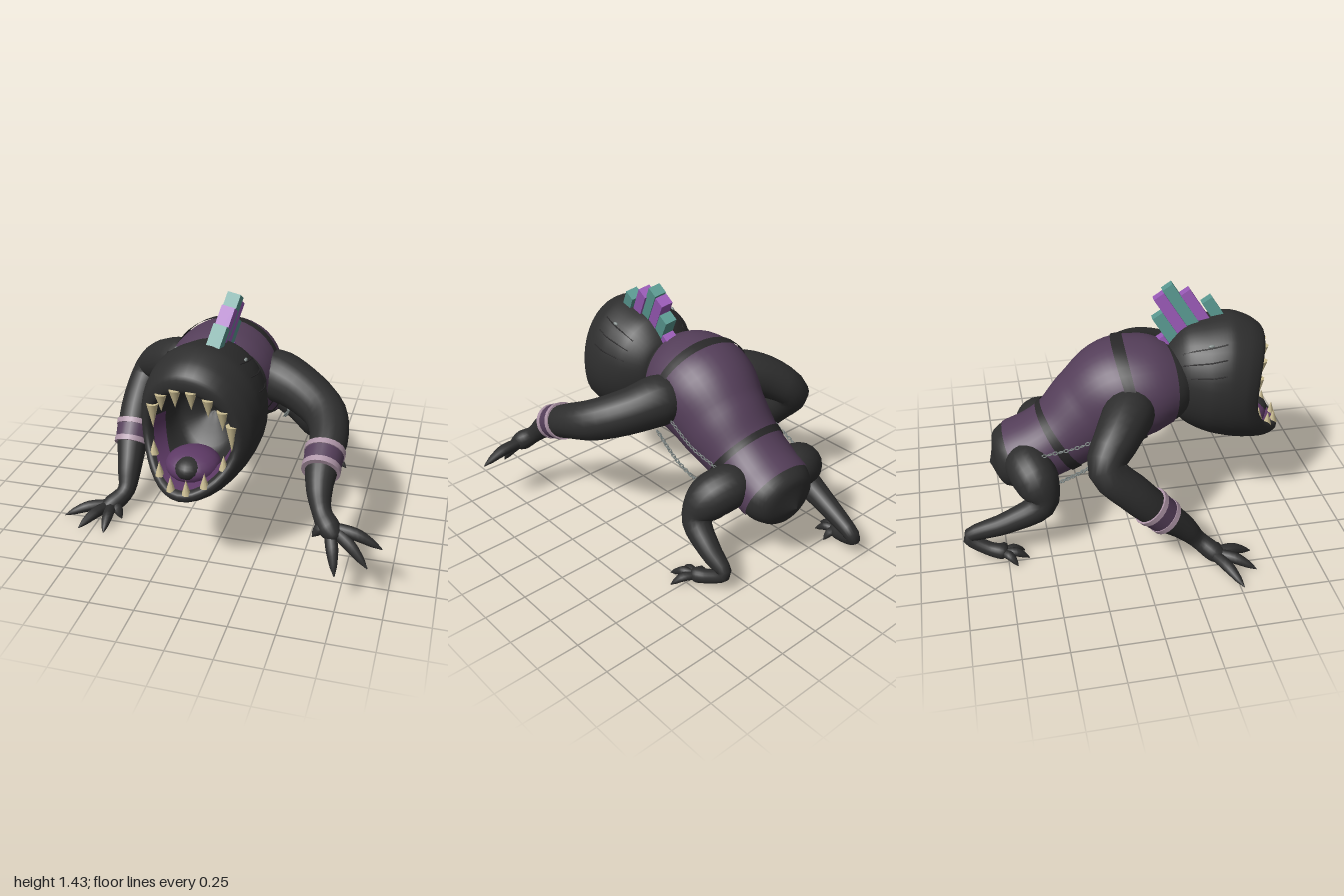
import * as THREE from 'three';

const mat = (name, color, side = THREE.FrontSide) => {
  const m = new THREE.MeshStandardMaterial({ color, side });
  m.name = name;
  return m;
};
const V = (x, y, z) => new THREE.Vector3(x, y, z);
const rad = THREE.MathUtils.degToRad;

// Surface from a function fn(u, v); v wraps round when closed
function grid(fn, nu, nv, closed) {
  const pos = [], idx = [], cols = closed ? nv : nv + 1;
  for (let i = 0; i <= nu; i++)
    for (let j = 0; j < cols; j++) pos.push(...fn(i / nu, j / nv).toArray());
  for (let i = 0; i < nu; i++)
    for (let j = 0; j < nv; j++) {
      const k = (j + 1) % cols;
      const a = i * cols + j, b = i * cols + k, c = a + cols, d = b + cols;
      idx.push(a, c, b, b, c, d);
    }
  const g = new THREE.BufferGeometry();
  g.setAttribute('position', new THREE.Float32BufferAttribute(pos, 3));
  g.setIndex(idx);
  g.computeVertexNormals();
  return g;
}

// Oval sections [x, y, z, width radius, height radius] swept along a smooth path
function loft(pts, { nu = 36, nv = 20, t0 = 0, t1 = 1, a0 = 0, a1 = 360, scale = 1 } = {}) {
  const path = new THREE.CatmullRomCurve3(pts.map(p => V(p[0], p[1], p[2])));
  const radii = new THREE.CatmullRomCurve3(pts.map(p => V(p[3], p[4] ?? p[3], 0)), false, 'catmullrom', 0.4);
  const frames = [];
  let side = null;
  for (let i = 0; i <= nu; i++) {
    const t = t0 + (t1 - t0) * i / nu;
    const tan = path.getTangent(t);
    if (!side) side = Math.abs(tan.x) < 0.9 ? V(1, 0, 0) : V(0, 0, 1);
    side = side.clone().addScaledVector(tan, -side.dot(tan)).normalize();
    frames.push({ c: path.getPoint(t), r: radii.getPoint(t), side, up: side.clone().cross(tan) });
  }
  return grid((u, v) => {
    const f = frames[Math.round(u * nu)], a = rad(a0 + (a1 - a0) * v);
    return f.c.clone()
      .addScaledVector(f.side, Math.cos(a) * Math.max(f.r.x, 0.0003) * scale)
      .addScaledVector(f.up, Math.sin(a) * Math.max(f.r.y, 0.0003) * scale);
  }, nu, nv, a1 - a0 === 360);
}

// Head profile from the nape over the lips into the throat: [z, centre y, rx, ry]
const HEAD = [[0.22, 0.9, 0, 0], [0.25, 0.9, 0.16, 0.17], [0.36, 0.89, 0.27, 0.3], [0.5, 0.87, 0.325, 0.36],
  [0.64, 0.86, 0.335, 0.39], [0.76, 0.84, 0.32, 0.37], [0.83, 0.825, 0.28, 0.325], [0.825, 0.805, 0.24, 0.26],
  [0.7, 0.8, 0.205, 0.23], [0.55, 0.8, 0.165, 0.19], [0.45, 0.8, 0, 0]];
const headPath = new THREE.CatmullRomCurve3(HEAD.map(p => V(p[0], p[1], 0)), false, 'catmullrom', 0.4);
const headSize = new THREE.CatmullRomCurve3(HEAD.map(p => V(p[2], p[3], 0)), false, 'catmullrom', 0.4);
const headPivot = V(-0.05, 0, 0.55);
function headPoint(t, deg, scale = 1) {
  const c = headPath.getPoint(t), r = headSize.getPoint(t), a = rad(deg), s = Math.sin(a);
  const w = THREE.MathUtils.smoothstep(c.x, 0.4, 0.82);
  const lean = w * ((s < 0 ? 0.18 : 0.06) * s * s - 0.07);
  return V(Math.cos(a) * Math.max(r.x, 0.0003) * scale,
    c.y + s * Math.max(r.y, 0.0003) * scale, c.x + lean - headPivot.z)
    .applyAxisAngle(V(0, 1, 0), -0.13).add(headPivot);
}

const TORSO = [[-0.06, 0.86, 0.36, 0.16, 0.14], [-0.08, 0.87, 0.26, 0.26, 0.22], [-0.09, 0.87, 0.12, 0.31, 0.28],
  [-0.08, 0.83, -0.02, 0.31, 0.31], [-0.07, 0.71, -0.19, 0.265, 0.275], [-0.075, 0.58, -0.37, 0.235, 0.22],
  [-0.07, 0.5, -0.52, 0.235, 0.2], [-0.06, 0.45, -0.65, 0.23, 0.19], [-0.06, 0.42, -0.74, 0.17, 0.15],
  [-0.06, 0.41, -0.8, 0, 0]];

export function createModel() {
  const root = new THREE.Group();
  const skin = mat('charcoal skin', 0x2e2e2e);
  const strap = mat('strap', 0x292829, THREE.DoubleSide);
  const cloth = mat('plum cloth', 0x543e59, THREE.DoubleSide);
  const mouth = mat('mouth purple', 0x5e3a66, THREE.DoubleSide);
  const violet = mat('crest violet', 0x9a5ab8);
  const teal = mat('crest teal', 0x5a9a92);
  const ivory = mat('ivory', 0xcbbd92);
  const pink = mat('dusty pink', 0xad94a6);
  const steel = mat('steel', 0x87908e);

  const add = (name, geo, material, parent = root) => {
    const m = new THREE.Mesh(geo, material);
    m.name = name;
    parent.add(m);
    return m;
  };
  const group = name => {
    const g = new THREE.Group();
    g.name = name;
    root.add(g);
    return g;
  };

  // Torso, vest open along the belly, and two straps
  add('torso', loft(TORSO, { nu: 45, nv: 28 }), skin);
  add('vest', loft(TORSO, { t0: 1.2 / 9, t1: 7 / 9, a0: -38, a1: 218, scale: 1.03, nv: 28 }), cloth);
  for (const t of [2.38, 4.93])
    add('vestStrap', loft(TORSO, { t0: t / 9, t1: (t + 0.28) / 9, a0: -38, a1: 218, scale: 1.06, nu: 3, nv: 28 }), strap);

  // Head with gaping mouth, gums and tongue
  const head = group('head');
  add('skull', grid((u, v) => headPoint(u, -360 * v), 60, 40, true), skin, head);
  add('gum', grid((u, v) => headPoint(0.72 + 0.075 * u, 14 - 208 * v, 0.975), 4, 30, false), mouth, head);
  const blob = (name, m, p, s) => {
    const b = add(name, new THREE.SphereGeometry(1, 20, 14), m, head);
    b.position.set(...p);
    b.scale.set(...s);
  };
  blob('tongue', mouth, [-0.08, 0.61, 0.72], [0.15, 0.09, 0.15]);
  blob('tongueTip', skin, [-0.08, 0.625, 0.78], [0.085, 0.065, 0.1]);

  // Teeth set round the lips
  const tooth = (t, deg, h, r, dir) => {
    const m = add('tooth', new THREE.ConeGeometry(r, h, 8), ivory, head);
    m.position.copy(headPoint(t, deg)).y += dir * h * 0.35;
    if (dir < 0) m.rotation.x = Math.PI;
  };
  [16, 38, 60, 82, 104, 128, 152].forEach((a, i) => tooth(0.695, a, [0.15, 0.11, 0.1, 0.1, 0.1, 0.1, 0.14][i], 0.033, -1));
  [-32, -58, -80, -102, -126, -150].forEach(a => tooth(0.715, a, 0.085, 0.026, 1));

  // Gill slits and small eyes
  for (const s of [0, 1]) {
    for (const a of [18, 32, 46]) {
      const pts = [0.18, 0.24, 0.3, 0.37].map((t, i) => headPoint(t, s ? 180 - a - i * 2 : a + i * 2));
      add('gillSlit', new THREE.TubeGeometry(new THREE.CatmullRomCurve3(pts), 10, 0.004, 5), strap, head);
    }
    const eye = add('eye', new THREE.SphereGeometry(0.01, 8, 6), steel, head);
    eye.position.copy(headPoint(0.3, s ? 128 : 52));
    eye.scale.z = 2;
  }

  // Crest of slanted blocks: [top x, top y, top z, length]
  const crest = group('crest');
  [[0.022, 1.32, 0.5, 0.17], [0.03, 1.375, 0.37, 0.22], [0.035, 1.415, 0.27, 0.27], [0.028, 1.365, 0.22, 0.27],
    [0.008, 1.255, 0.21, 0.19], [-0.015, 1.12, 0.215, 0.12]].forEach(([x, y, z, len], i) => {
    const b = add('crestBlock', new THREE.BoxGeometry(0.075, len, 0.068).translate(0, -len / 2, 0), i % 2 ? violet : teal, crest);
    b.position.set(x, y, z);
    b.rotation.set(-0.58, 0, -0.2);
  });

  // Fingers and toes taper from the palm over a knuckle to a point
  const digits = (name, base, tips, r) => tips.forEach(t => {
    const along = (k, lift) => base.map((b, i) => b + (t[i] - b) * k + (i === 1 ? lift : 0));
    add(name, loft([[...base, r * 0.9], [...along(0.5, 0.022), r], [...along(0.8, 0.012), r * 0.65], [...t, 0.003]],
      { nu: 12, nv: 8 }), skin);
  });

  // Arms
  add('leftArm', loft([[0.12, 0.86, 0.0, 0.12], [0.22, 0.86, 0.04, 0.15], [0.38, 0.82, 0.11, 0.135], [0.54, 0.76, 0.25, 0.12],
    [0.595, 0.7, 0.42, 0.104], [0.59, 0.62, 0.58, 0.092], [0.6, 0.54, 0.7, 0.07], [0.63, 0.46, 0.78, 0.052],
    [0.68, 0.41, 0.84, 0.06], [0.72, 0.38, 0.88, 0.035], [0.73, 0.37, 0.89, 0]]), skin);
  digits('leftFinger', [0.68, 0.41, 0.83], [[0.96, 0.33, 0.85], [0.9, 0.27, 0.95], [0.74, 0.22, 0.99], [0.6, 0.36, 0.87]], 0.033);
  add('rightArm', loft([[-0.24, 0.86, 0.02, 0.12], [-0.36, 0.855, -0.02, 0.145], [-0.51, 0.81, -0.11, 0.128], [-0.64, 0.7, -0.2, 0.104],
    [-0.675, 0.53, -0.05, 0.104], [-0.67, 0.38, 0.09, 0.095], [-0.645, 0.23, 0.24, 0.072], [-0.64, 0.12, 0.33, 0.052],
    [-0.7, 0.065, 0.41, 0.055], [-0.74, 0.045, 0.45, 0.035], [-0.75, 0.04, 0.46, 0]]), skin);
  digits('rightFinger', [-0.7, 0.06, 0.4], [[-0.96, 0.012, 0.52], [-0.83, 0.012, 0.63], [-0.67, 0.012, 0.64], [-0.62, 0.012, 0.47]], 0.033);

  // Forearm bands with pale rims, wider towards the elbow
  for (const [name, p, d] of [['leftBand', V(0.59, 0.635, 0.56), V(0, -0.42, 0.9)], ['rightBand', V(-0.67, 0.385, 0.085), V(0.03, -0.72, 0.69)]]) {
    const g = group(name);
    g.position.copy(p);
    g.quaternion.setFromUnitVectors(V(0, 1, 0), d.normalize());
    add('bandSleeve', new THREE.CylinderGeometry(0.1, 0.108, 0.13, 24, 1, true), cloth, g);
    for (const y of [-0.055, 0.055])
      add('bandRim', new THREE.CylinderGeometry(0.108 - y * 0.06, 0.109 - y * 0.06, 0.032, 24), pink, g).position.y = y;
  }

  // Hind legs folded back to the heel, then forward to the toes
  add('leftLeg', loft([[0.08, 0.52, -0.5, 0.1], [0.17, 0.51, -0.49, 0.13], [0.28, 0.46, -0.45, 0.13], [0.355, 0.34, -0.43, 0.088],
    [0.385, 0.22, -0.57, 0.064], [0.385, 0.125, -0.69, 0.04], [0.42, 0.07, -0.6, 0.04], [0.45, 0.05, -0.52, 0.043],
    [0.47, 0.04, -0.49, 0]]), skin);
  digits('leftToe', [0.45, 0.05, -0.53], [[0.58, 0.012, -0.46], [0.51, 0.012, -0.38], [0.43, 0.012, -0.4], [0.36, 0.012, -0.5]], 0.026);
  add('rightLeg', loft([[-0.16, 0.5, -0.6, 0.1], [-0.26, 0.5, -0.59, 0.13], [-0.36, 0.45, -0.55, 0.128], [-0.41, 0.34, -0.53, 0.088],
    [-0.415, 0.23, -0.73, 0.064], [-0.39, 0.135, -0.96, 0.042], [-0.43, 0.07, -0.86, 0.04], [-0.46, 0.05, -0.77, 0.043],
    [-0.47, 0.04, -0.74, 0]]), skin);
  digits('rightToe', [-0.46, 0.05, -0.78], [[-0.55, 0.012, -0.7], [-0.49, 0.012, -0.63], [-0.42, 0.012, -0.65], [-0.37, 0.012, -0.76]], 0.026);

  // Chains of alternating links along both flanks
  const link = new THREE.TorusGeometry(0.0095, 0.0035, 4, 8).scale(1, 1.35, 1);
  const chain = (name, n, ...pts) => {
    const g = group(name), curve = new THREE.CatmullRomCurve3(pts.map(p => V(...p)));
    for (let i = 0; i <= n; i++) {
      const m = add('link', link, steel, g);
      m.position.copy(curve.getPointAt(i / n));
      m.quaternion.setFromUnitVectors(V(0, 1, 0), curve.getTangentAt(i / n));
      m.rotateY((i % 2) * Math.PI / 2);
    }
  };
  chain('leftUpperChain', 15, [0.25, 0.81, -0.05], [0.225, 0.67, -0.24], [0.195, 0.6, -0.43]);
  chain('leftLowerChain', 24, [0.29, 0.7, -0.02], [0.25, 0.54, -0.15], [0.19, 0.41, -0.33]);
  chain('rightUpperChain', 15, [-0.4, 0.81, -0.08], [-0.365, 0.67, -0.27], [-0.33, 0.6, -0.5]);
  chain('rightLowerChain', 24, [-0.46, 0.68, -0.12], [-0.39, 0.53, -0.25], [-0.35, 0.42, -0.42]);

  return root;
}
